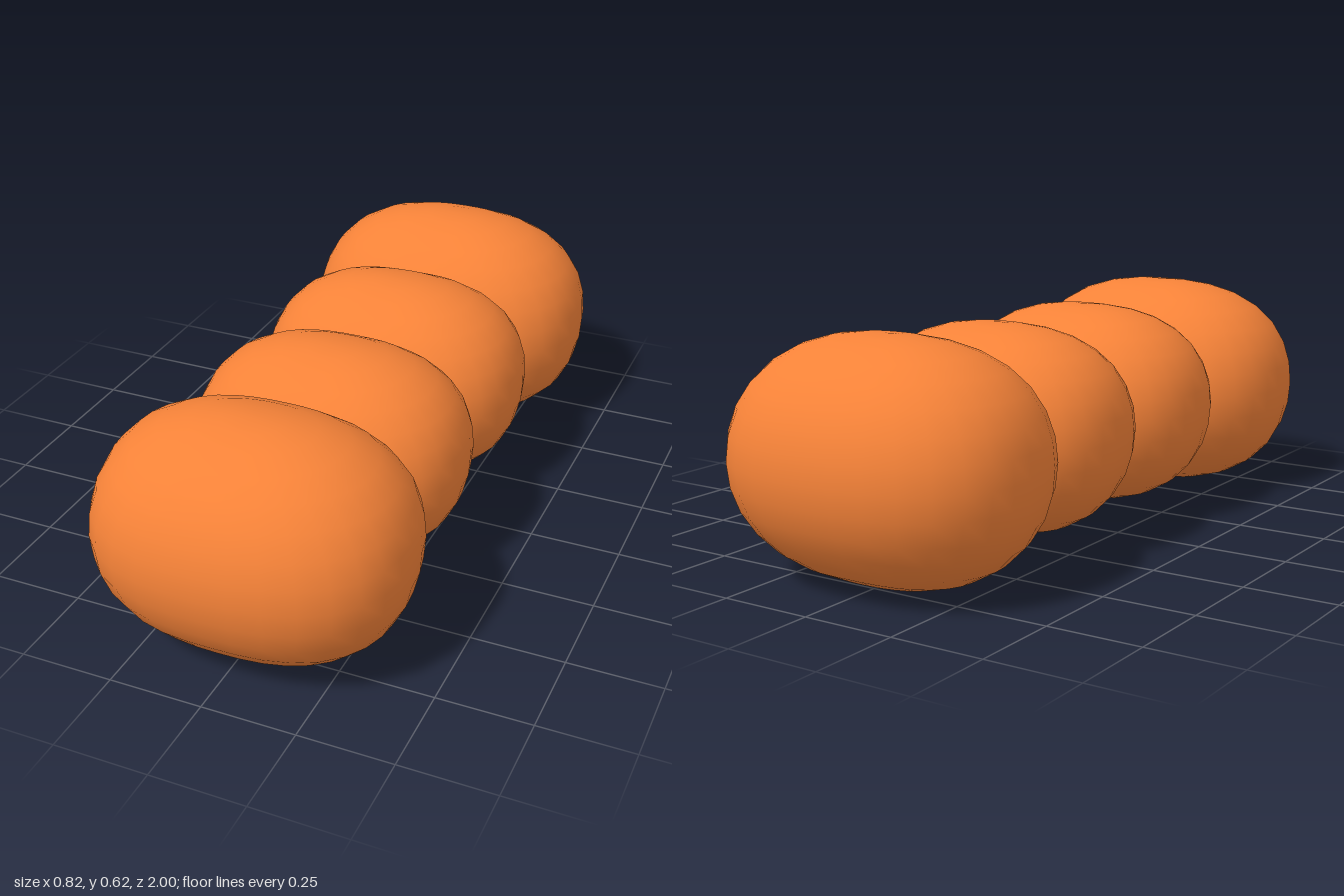
import * as THREE from 'three';
import { mergeVertices } from 'three/addons/utils/BufferGeometryUtils.js';

const POWER = 2.5; // above 2 gives each lobe a fuller, barrel-like profile along x

// Plump lobe: round about the x axis, superelliptic along it
function lobeGeometry(rx, ry, rz) {
  let geo = new THREE.SphereGeometry(1, 32, 16);
  geo.deleteAttribute('uv');
  geo.deleteAttribute('normal');
  geo = mergeVertices(geo, 1e-4);
  const pos = geo.attributes.position;
  const v = new THREE.Vector3();
  for (let i = 0; i < pos.count; i++) {
    v.fromBufferAttribute(pos, i);
    const radial = Math.hypot(v.y, v.z);
    const norm = Math.pow(Math.pow(Math.abs(v.x), POWER) + Math.pow(radial, POWER), 1 / POWER);
    v.divideScalar(norm);
    pos.setXYZ(i, v.x * rx, v.y * ry, v.z * rz);
  }
  geo.computeVertexNormals();
  return geo;
}

export function createModel() {
  const group = new THREE.Group();
  group.name = 'segmentedBody';
  const material = new THREE.MeshStandardMaterial({ color: 0xf58238 });

  // Large end lobes and smaller middle lobes, mirrored front to back
  const lobes = [
    { name: 'EndLobe', size: [0.41, 0.31, 0.325], y: 0.313, z: 0.675 },
    { name: 'MiddleLobe', size: [0.37, 0.281, 0.3], y: 0.314, z: 0.22 },
  ];
  for (const { name, size, y, z } of lobes) {
    const geometry = lobeGeometry(...size);
    for (const side of [1, -1]) {
      const lobe = new THREE.Mesh(geometry, material);
      lobe.name = (side > 0 ? 'front' : 'back') + name;
      lobe.position.set(0, y, side * z);
      group.add(lobe);
    }
  }
  return group;
}
